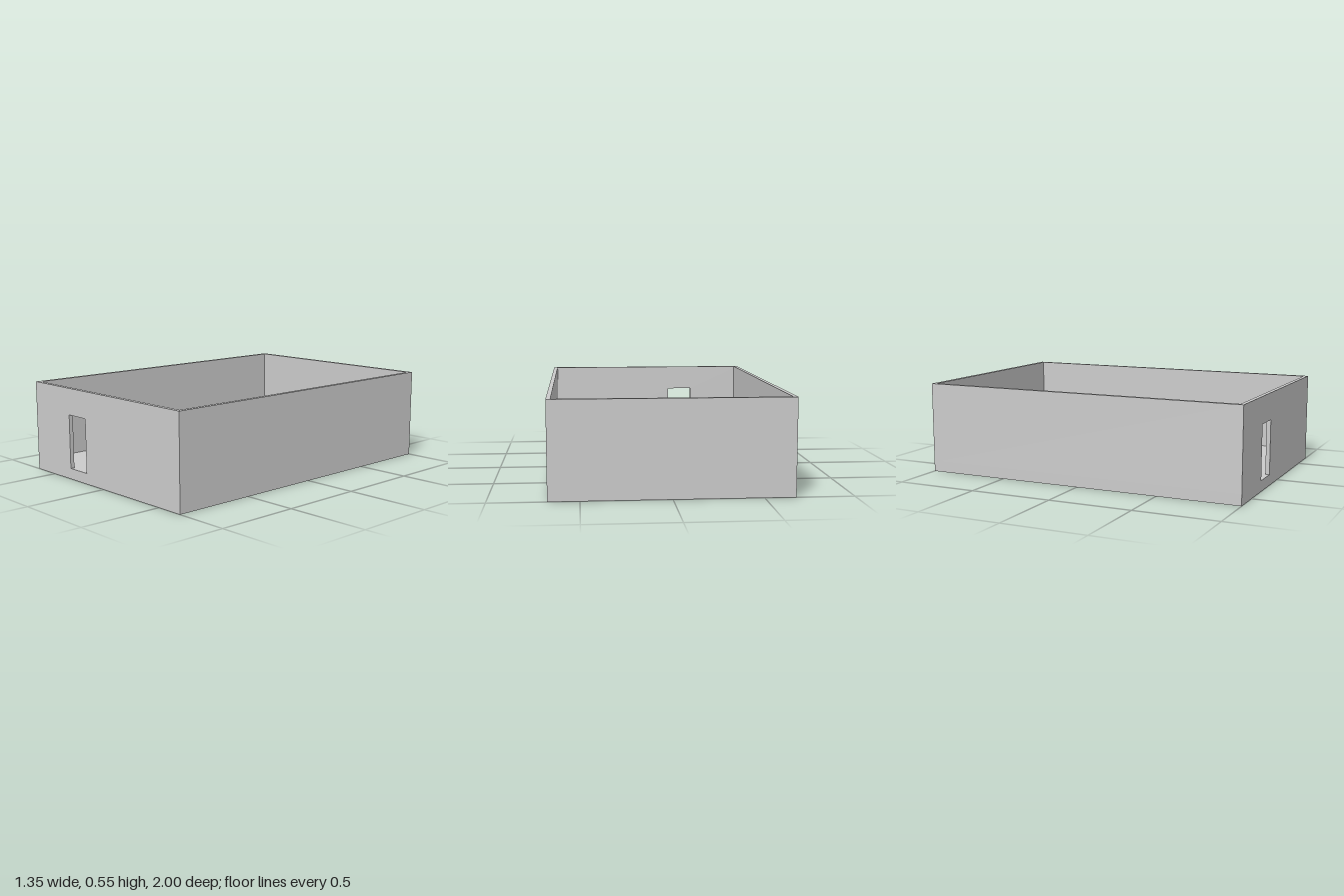
import * as THREE from 'three';

const W = 1.35, L = 2, H = 0.55;   // overall width, length, height
const T = 0.025, FLOOR = 0.065;    // wall and floor thickness
const DOOR = { x0: -0.325, x1: -0.162, top: 0.39 };

export function createModel() {
  const group = new THREE.Group();
  const material = new THREE.MeshStandardMaterial({ color: 0xcccccc, flatShading: true });
  const add = (name, geometry, x, y, z) => {
    const mesh = new THREE.Mesh(geometry, material);
    mesh.name = name;
    mesh.position.set(x, y, z);
    group.add(mesh);
  };

  // Floor slab under the walls
  add('floorSlab', new THREE.BoxGeometry(W, FLOOR, L), 0, FLOOR / 2, 0);

  // Plain side and back walls standing on the slab
  const wallH = H - FLOOR, midY = FLOOR + wallH / 2;
  for (const [name, side] of [['leftWall', 1], ['rightWall', -1]]) {
    add(name, new THREE.BoxGeometry(T, wallH, L - 2 * T), side * (W - T) / 2, midY, 0);
  }
  add('backWall', new THREE.BoxGeometry(W, wallH, T), 0, midY, -(L - T) / 2);

  // Front wall outline steps around the doorway, which opens at floor level
  const outline = [
    [-W / 2, FLOOR], [DOOR.x0, FLOOR], [DOOR.x0, DOOR.top], [DOOR.x1, DOOR.top],
    [DOOR.x1, FLOOR], [W / 2, FLOOR], [W / 2, H], [-W / 2, H],
  ];
  const shape = new THREE.Shape(outline.map(([x, y]) => new THREE.Vector2(x, y)));
  add('frontWall', new THREE.ExtrudeGeometry(shape, { depth: T, bevelEnabled: false }), 0, 0, L / 2 - T);

  return group;
}
